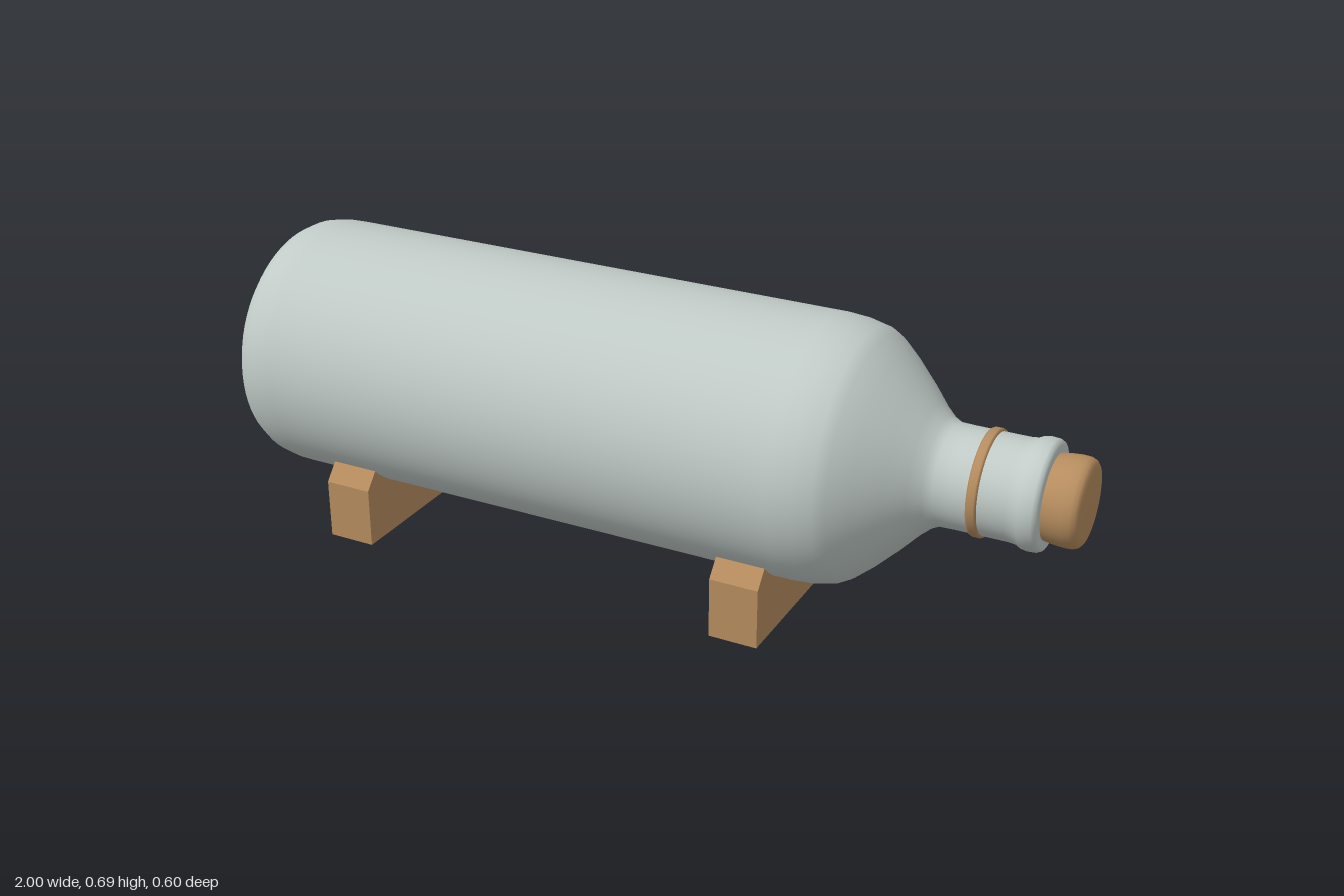
import * as THREE from 'three';

const AXIS_Y = 0.39;
const BODY_R = 0.3;

const glass = new THREE.MeshStandardMaterial({ color: 0xc0cac6 });
glass.name = 'pale grey glass';
const wood = new THREE.MeshStandardMaterial({ color: 0xb58c5e });
wood.name = 'warm wood';

// Turned part lying along x; each profile point is [x, radius]
function turned(name, profile, material) {
  const points = profile.map(([x, r]) => new THREE.Vector2(r, x));
  const geometry = new THREE.LatheGeometry(points, 72);
  geometry.rotateZ(-Math.PI / 2);
  const mesh = new THREE.Mesh(geometry, material);
  mesh.name = name;
  mesh.position.y = AXIS_Y;
  return mesh;
}

// Cradle block with chamfered shoulders and a round seat for the bottle
function cradle(name, x, width) {
  const half = 0.25, tipZ = 0.217;
  const tipY = AXIS_Y - Math.sqrt(BODY_R ** 2 - tipZ ** 2);
  const angle = Math.atan2(tipY - AXIS_Y, tipZ);
  const shape = new THREE.Shape();
  shape.moveTo(-half, 0);
  shape.lineTo(half, 0);
  shape.lineTo(half, 0.143);
  shape.lineTo(tipZ, tipY);
  shape.absarc(0, AXIS_Y, BODY_R, angle, -Math.PI - angle, true);
  shape.lineTo(-half, 0.143);
  shape.closePath();
  const geometry = new THREE.ExtrudeGeometry(shape, { depth: width, bevelEnabled: false, curveSegments: 32 });
  geometry.translate(0, 0, -width / 2);
  geometry.rotateY(Math.PI / 2);
  const mesh = new THREE.Mesh(geometry, wood);
  mesh.name = name;
  mesh.position.x = x;
  return mesh;
}

export function createModel() {
  const model = new THREE.Group();
  model.name = 'bottleOnCradles';

  // Bottle: flat base, rounded heel, straight body, sloping shoulder, neck and lip
  model.add(turned('bottle', [
    [-1, 0], [-1, 0.2], [-0.998, 0.222], [-0.988, 0.252], [-0.968, 0.277],
    [-0.94, 0.292], [-0.9, 0.299], [-0.87, 0.3], [0.4, 0.3], [0.45, 0.296],
    [0.495, 0.286], [0.52, 0.272], [0.56, 0.238], [0.61, 0.189], [0.65, 0.146],
    [0.675, 0.124], [0.695, 0.114], [0.73, 0.113], [0.85, 0.113], [0.868, 0.115],
    [0.88, 0.121], [0.893, 0.123], [0.91, 0.122], [0.918, 0.118], [0.921, 0.11], [0.921, 0.08],
  ], glass));

  // Thin ring around the neck
  model.add(turned('neckBand', [
    [0.768, 0.11], [0.769, 0.117], [0.773, 0.119], [0.787, 0.119], [0.791, 0.117], [0.792, 0.11],
  ], wood));

  // Stopper with a softened end
  model.add(turned('stopper', [
    [0.9, 0.092], [0.922, 0.094], [0.94, 0.097], [0.965, 0.099], [0.982, 0.098],
    [0.992, 0.094], [0.998, 0.086], [1, 0.074], [1, 0],
  ], wood));

  // Pair of supports
  model.add(cradle('rearCradle', -0.705, 0.116));
  model.add(cradle('neckSideCradle', 0.308, 0.116));
  return model;
}
